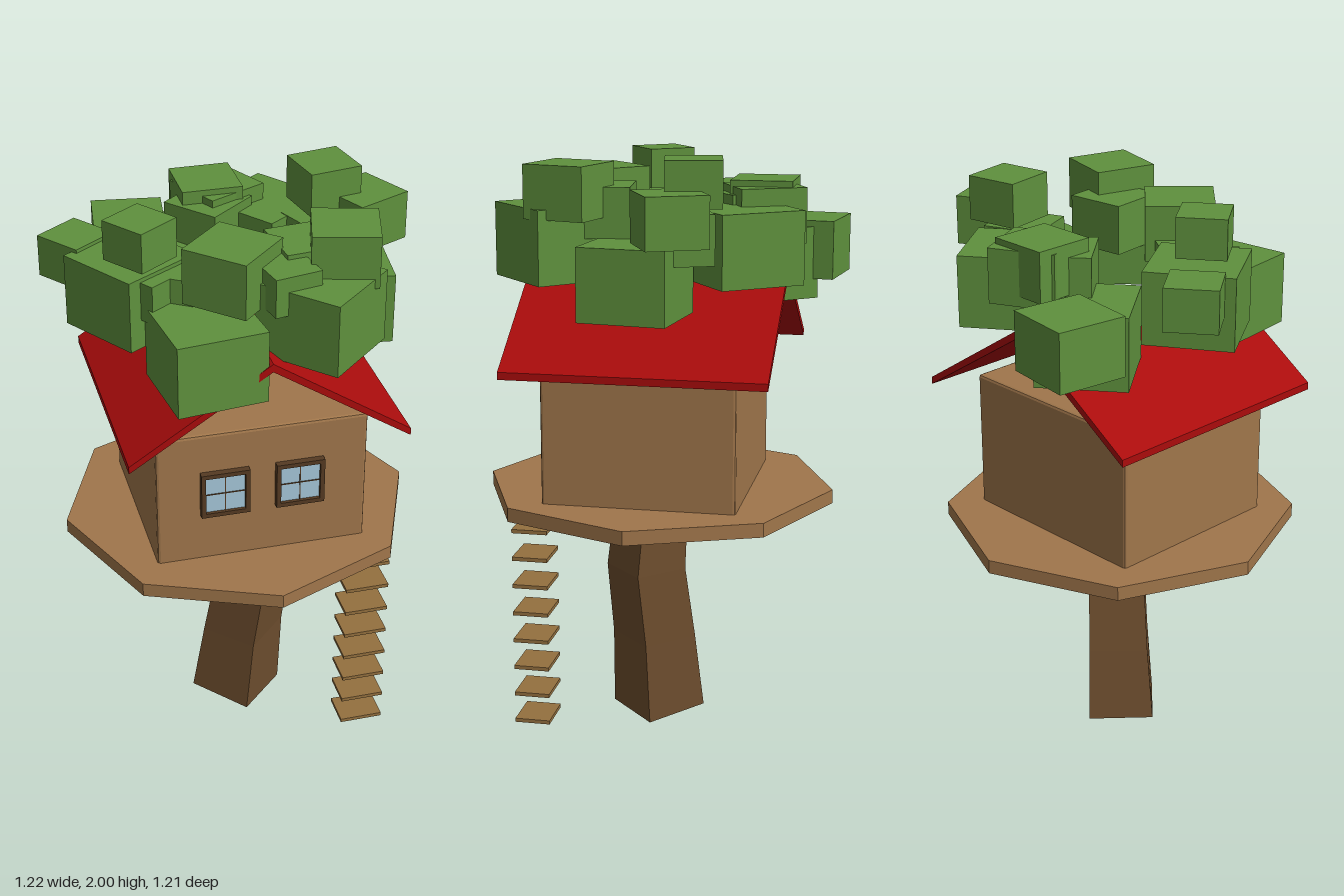
import * as THREE from 'three';
import { RoundedBoxGeometry } from 'three/addons/geometries/RoundedBoxGeometry.js';

const paint = (name, color) => {
  const m = new THREE.MeshStandardMaterial({ color, flatShading: true });
  m.name = name;
  return m;
};

export function createModel() {
  const root = new THREE.Group();
  root.name = 'treehouse';
  const wood = paint('plank brown', 0xa0764b);
  const bark = paint('bark brown', 0x6e4e2e);
  const rungWood = paint('rung brown', 0x94703f);
  const frameWood = paint('dark frame brown', 0x553a22);
  const glass = paint('window blue', 0xa6c8da);
  const red = paint('roof red', 0xaa0c0c);
  const green = paint('leaf green', 0x5f913d);

  const add = (name, geo, mat, x = 0, y = 0, z = 0, parent = root) => {
    const mesh = new THREE.Mesh(geo, mat);
    mesh.name = name;
    mesh.position.set(x, y, z);
    parent.add(mesh);
    return mesh;
  };
  const box = (w, h, d) => new THREE.BoxGeometry(w, h, d);

  // Bent four-sided trunk: y, centre x, centre z, radius of each section
  const sections = [
    [0.017, 0.002, 0.003, 0.163],
    [0.29, 0.027, 0.015, 0.147],
    [0.55, 0.06, 0.037, 0.139],
    [0.82, 0.04, 0.018, 0.127],
  ];
  const trunk = new THREE.CylinderGeometry(1, 1, 1, 4, 3);
  const p = trunk.attributes.position;
  for (let i = 0; i < p.count; i++) {
    const [y, cx, cz, r] = sections[Math.round((p.getY(i) + 0.5) * 3)];
    const dx = p.getX(i) * r, dz = p.getZ(i) * r;
    const tilt = y < 0.1 ? -0.08 * dx - 0.03 * dz : 0;
    p.setXYZ(i, cx + dx, y + tilt, cz + dz);
  }
  trunk.computeVertexNormals();
  add('trunk', trunk, bark);

  // Octagonal deck and cabin
  add('deck', new THREE.CylinderGeometry(0.604, 0.604, 0.048, 8), wood, 0.006, 0.824, 0);
  add('cabin', new RoundedBoxGeometry(0.714, 0.49, 0.654, 1, 0.01), wood, 0.008, 1.079, 0.003);

  // Open gable roof
  const gable = new THREE.Shape();
  [[-0.456, 1.29], [0.009, 1.59], [0.473, 1.29], [0.473, 1.315], [0.009, 1.618], [-0.456, 1.315]]
    .forEach(([x, y], i) => (i ? gable.lineTo(x, y) : gable.moveTo(x, y)));
  add('roof', new THREE.ExtrudeGeometry(gable, { depth: 0.88, bevelEnabled: false }), red, 0, 0, -0.44);

  // Two framed windows on the front wall
  const square = (T, s) => new T([
    new THREE.Vector2(-s, -s), new THREE.Vector2(s, -s), new THREE.Vector2(s, s), new THREE.Vector2(-s, s),
  ]);
  for (const x of [-0.121, 0.133]) {
    const win = new THREE.Group();
    win.name = 'window';
    win.position.set(x, 1.102, 0.33);
    root.add(win);
    const rim = square(THREE.Shape, 0.082);
    rim.holes.push(square(THREE.Path, 0.067));
    add('windowFrame', new THREE.ExtrudeGeometry(rim, { depth: 0.024, bevelEnabled: false }), frameWood, 0, 0, 0, win);
    add('windowPane', box(0.136, 0.136, 0.008), glass, 0, 0, 0.008, win);
    add('windowBarUpright', box(0.003, 0.136, 0.004), frameWood, 0, 0, 0.013, win);
    add('windowBarLevel', box(0.136, 0.003, 0.004), frameWood, 0, 0, 0.013, win);
  }

  // Ladder of loose rungs
  for (let i = 0; i < 8; i++) {
    add('ladderRung', box(0.15, 0.013, 0.12), rungWood, 0.361, 0.095 + i * 0.0963, 0.355);
  }

  // Leaf blocks: x, z, top y, side, turn; each is a little flatter than a cube
  const leaves = [
    [-0.257, -0.47, 1.75, 0.243, -0.14],
    [0.474, -0.125, 1.905, 0.204, 0.44],
    [0.35, -0.178, 2.0, 0.183, 0.18],
    [-0.01, -0.355, 1.905, 0.207, 0],
    [0.028, -0.355, 1.885, 0.224, 0.46],
    [0.185, -0.31, 1.828, 0.295, 0.63],
    [-0.168, -0.31, 1.73, 0.3, 0.66],
    [-0.49, -0.168, 1.84, 0.173, 0.64],
    [-0.345, 0, 1.828, 0.297, 0.57],
    [-0.322, 0.053, 1.972, 0.165, 0.63],
    [-0.062, 0.21, 1.93, 0.23, -0.78],
    [-0.148, 0.138, 1.815, 0.18, -0.58],
    [-0.17, 0.305, 1.73, 0.3, 0.12],
    [0.365, 0.007, 1.73, 0.295, -0.125],
    [0.19, 0.155, 1.895, 0.205, 0.11],
    [0.293, 0.24, 1.972, 0.215, -0.27],
    [0.2, 0.305, 1.83, 0.3, 0.75],
    [0.09, 0.3, 1.88, 0.16, 0.2],
    [-0.02, -0.28, 1.86, 0.21, 0.7],
    [0.335, -0.125, 1.83, 0.2, 0.38],
    [-0.3, 0.11, 1.815, 0.16, 0.6],
  ];
  for (const [x, z, top, side, turn] of leaves) {
    const h = side * 0.815;
    add('leafBlock', box(side, h, side), green, x, top - h / 2, z).rotation.y = turn;
  }
  return root;
}
